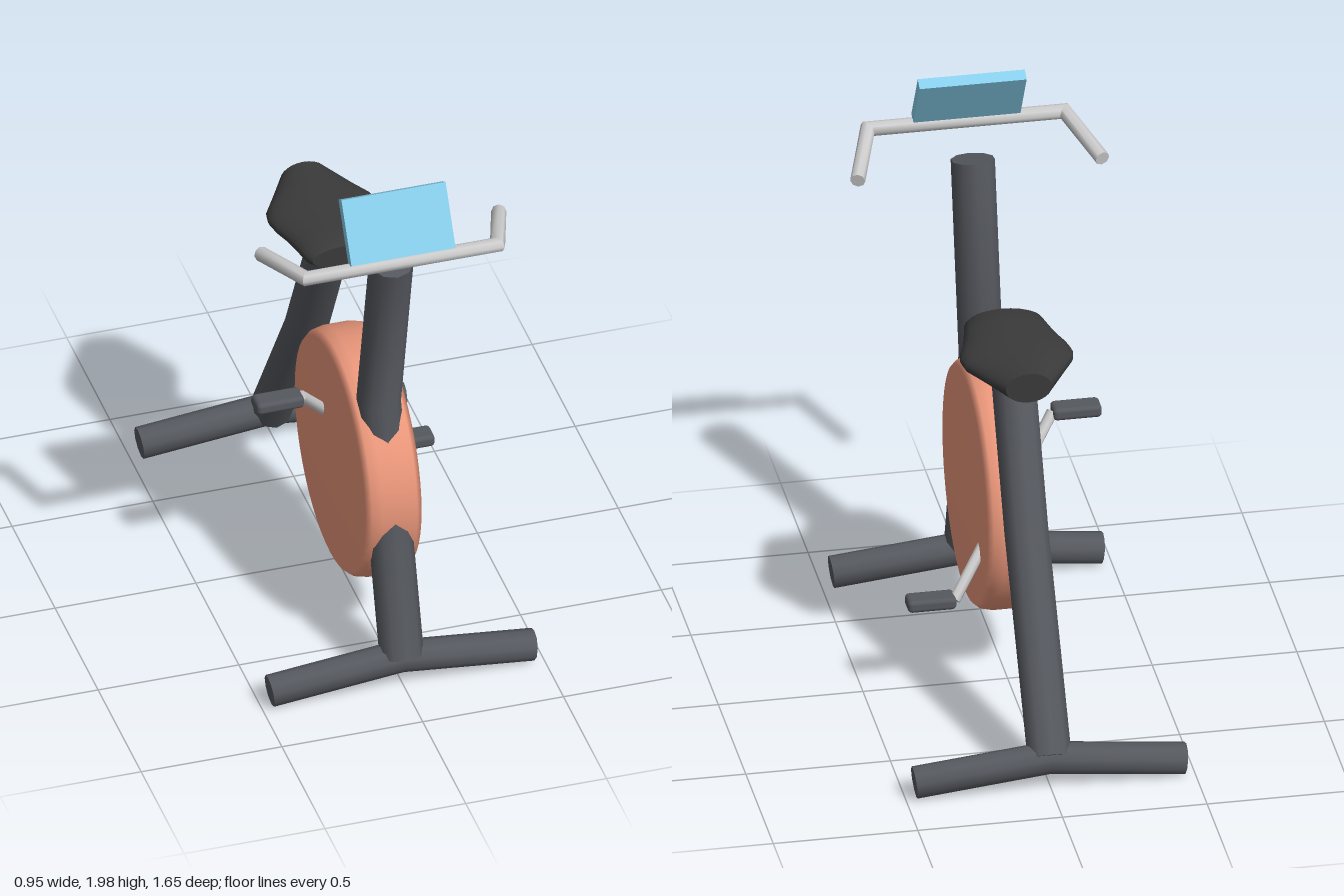
import * as THREE from 'three';
import { toCreasedNormals } from 'three/addons/utils/BufferGeometryUtils.js';
import { RoundedBoxGeometry } from 'three/addons/geometries/RoundedBoxGeometry.js';

const V = (x, y, z) => new THREE.Vector3(x, y, z);
const X = V(1, 0, 0), Y = V(0, 1, 0), Z = V(0, 0, 1);
const mat = (color) => new THREE.MeshStandardMaterial({ color });

// Skin a list of vertex rings and close both ends
function loft(rings, crease = 0.9) {
  const n = rings[0].length, pos = [];
  const tri = (...pts) => pts.forEach((p) => pos.push(p.x, p.y, p.z));
  const middle = (ring) => ring.reduce((s, p) => s.add(p), V(0, 0, 0)).divideScalar(n);
  const first = rings[0], last = rings[rings.length - 1];
  const c0 = middle(first), c1 = middle(last);
  for (let j = 0; j < n; j++) {
    const k = (j + 1) % n;
    for (let i = 0; i < rings.length - 1; i++) {
      const a = rings[i], b = rings[i + 1];
      tri(a[j], a[k], b[k]);
      tri(a[j], b[k], b[j]);
    }
    tri(c0, first[k], first[j]);
    tri(c1, last[j], last[k]);
  }
  const geo = new THREE.BufferGeometry();
  geo.setAttribute('position', new THREE.Float32BufferAttribute(pos, 3));
  return toCreasedNormals(geo, crease);
}

// Straight pipe runs with mitred bends
function pipe(points, radius, sides, hint) {
  const dirs = points.slice(1).map((p, i) => p.clone().sub(points[i]).normalize());
  const u = hint.clone().cross(dirs[0]).normalize();
  const v = dirs[0].clone().cross(u);
  const rings = [[]];
  for (let j = 0; j < sides; j++) {
    const a = (j / sides) * Math.PI * 2;
    rings[0].push(points[0].clone()
      .addScaledVector(u, radius * Math.cos(a))
      .addScaledVector(v, radius * Math.sin(a)));
  }
  dirs.forEach((d, i) => {
    const normal = d.clone().add(dirs[i + 1] || d).normalize();
    rings.push(rings[i].map((p) => {
      const t = normal.dot(points[i + 1].clone().sub(p)) / normal.dot(d);
      return p.clone().addScaledVector(d, t);
    }));
  });
  return loft(rings);
}

export function createModel() {
  const model = new THREE.Group();
  const frame = mat(0x55585e), metal = mat(0xcccccc);
  const add = (name, geo, material, x = 0, y = 0, z = 0) => {
    const mesh = new THREE.Mesh(geo, material);
    mesh.name = name;
    mesh.position.set(x, y, z);
    model.add(mesh);
    return mesh;
  };

  // Frame: two bent posts on shallow V-shaped feet
  add('frontPost', pipe([V(0, 0.13, 0.755), V(0, 1.01, 0.487), V(0, 1.687, 0.634)], 0.076, 10, X), frame);
  add('rearPost', pipe([V(0, 0.125, -0.763), V(0, 0.775, -0.34), V(0, 1.265, -0.09)], 0.076, 10, X), frame);
  for (const [name, z] of [['frontFoot', 0.75], ['rearFoot', -0.765]]) {
    add(name, pipe([V(-0.467, 0.073, z), V(0, 0.122, z), V(0.467, 0.073, z)], 0.056, 10, Z), frame);
  }

  // Flywheel housing: disc with softened rim, axis along x
  const half = [[0.41, 0.1], [0.427, 0.08], [0.435, 0.045]];
  const profile = [[0, -0.1], ...half.map(([r, h]) => [r, -h]), ...half.slice().reverse(), [0, 0.1]];
  const disc = new THREE.LatheGeometry(profile.map(([r, h]) => new THREE.Vector2(r, h)), 48);
  add('flywheel', disc, mat(0xe9967a), 0, 0.645, 0.25).rotation.z = -Math.PI / 2;

  // Crank rod through the wheel, with a pedal at each end
  add('crank', pipe([V(-0.2, 0.9, 0.24), V(0.2, 0.39, -0.09)], 0.02, 8, Y), metal);
  add('leftPedal', new RoundedBoxGeometry(0.168, 0.045, 0.08, 2, 0.015), frame, 0.283, 0.393, -0.09);
  add('rightPedal', new RoundedBoxGeometry(0.168, 0.045, 0.08, 2, 0.015), frame, -0.283, 0.9, 0.245);

  // Saddle: elliptical sections [z, half width, half height]
  const sections = [
    [-0.39, 0.08, 0.055], [-0.28, 0.145, 0.055], [-0.21, 0.187, 0.055], [-0.16, 0.195, 0.055],
    [-0.11, 0.185, 0.055], [-0.05, 0.164, 0.055], [0, 0.152, 0.055], [0.08, 0.135, 0.054], [0.105, 0.118, 0.042],
  ];
  const saddle = sections.map(([z, w, h]) => Array.from({ length: 24 }, (_, j) => {
    const a = (j / 24) * Math.PI * 2;
    return V(w * Math.cos(a), 1.35 + h * Math.sin(a), z);
  }));
  add('saddle', loft(saddle), mat(0x3a3a3a));

  // Handlebar with grips swept back
  add('handlebar', pipe([
    V(-0.423, 1.718, 0.5), V(-0.34, 1.772, 0.757), V(0.34, 1.772, 0.757), V(0.423, 1.718, 0.5),
  ], 0.026, 8, Y), metal);

  // Tilted console screen
  add('console', new THREE.BoxGeometry(0.37, 0.228, 0.04), mat(0x87ceeb), 0, 1.892, 0.702).rotation.x = -0.536;

  return model;
}
